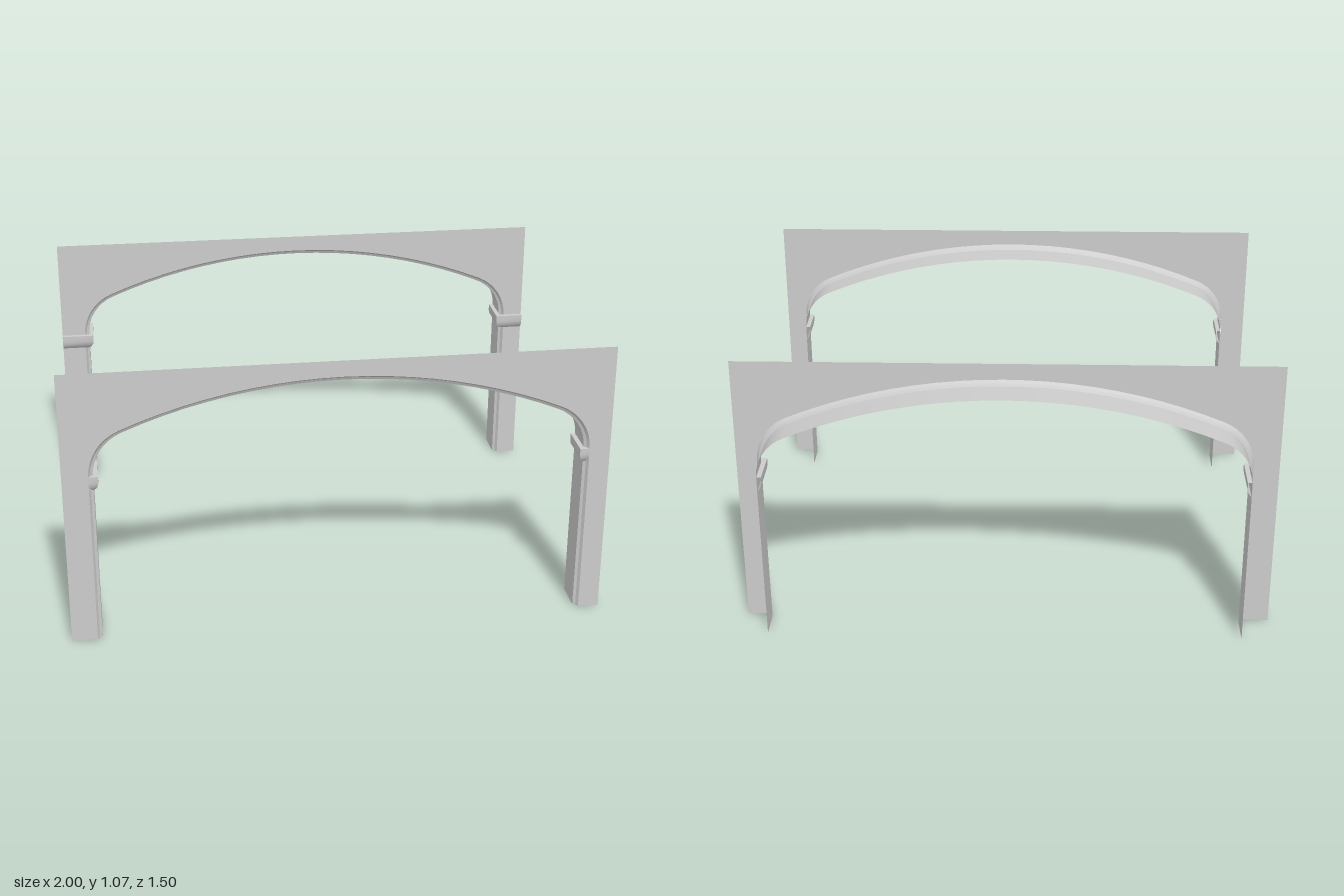
import * as THREE from 'three';
import { toCreasedNormals } from 'three/addons/utils/BufferGeometryUtils.js';

const CX = 0.009;        // centre of the opening
const HALF = 0.914;      // half width of the opening at the face
const SPRING = 0.67;     // height where the arch begins
const CROWN = 1.008;
const TOP = 1.07;
const DEPTH = 0.134;
const EDGE = 0.018;      // width of the moulded edge
const BIG = 2.05;        // radius of the crown arc
const RISE = CROWN - SPRING;
const SMALL = (2 * BIG * RISE - HALF ** 2 - RISE ** 2) / (2 * (BIG - HALF));

const material = new THREE.MeshStandardMaterial({ color: 0xcccccc, side: THREE.DoubleSide });

function addMesh(group, name, geometry) {
  const mesh = new THREE.Mesh(geometry, material);
  mesh.name = name;
  group.add(mesh);
}

// Skin over a grid of points: rows[i][j] = [x, y, z]
function loft(rows) {
  const n = rows[0].length, index = [];
  for (let i = 0; i < rows.length - 1; i++) {
    for (let j = 0; j < n - 1; j++) {
      const a = i * n + j, b = a + n;
      index.push(a, a + 1, b, a + 1, b + 1, b);
    }
  }
  const g = new THREE.BufferGeometry();
  g.setAttribute('position', new THREE.Float32BufferAttribute(rows.flat(2), 3));
  g.setIndex(index);
  return toCreasedNormals(g, 0.45);
}

// Three-centred arch on two posts, inset by d, from left foot to right foot
function outline(d) {
  const join = Math.acos((HALF - SMALL) / (BIG - SMALL));
  const right = [[HALF - d, 0]];
  for (let i = 0; i <= 8; i++) {
    const t = join * i / 8;
    right.push([HALF - SMALL + (SMALL - d) * Math.cos(t), SPRING + (SMALL - d) * Math.sin(t)]);
  }
  for (let i = 1; i <= 10; i++) {
    const t = join + (Math.PI / 2 - join) * i / 10;
    right.push([(BIG - d) * Math.cos(t), CROWN - BIG + (BIG - d) * Math.sin(t)]);
  }
  const left = right.slice(0, -1).map(([x, y]) => [-x, y]);
  return [...left, ...right.reverse()].map(([x, y]) => [x + CX, y]);
}

// Moulding swept round the inside and front of a post; side is -1 or +1
function capital(side, cornerZ, frontEndX, backZ) {
  const wall = CX + side * (HALF - EDGE);
  const profile = [[0, 0.67], [0.017, 0.67], [0.017, 0.645], [0.014, 0.63], [0.006, 0.618], [0, 0.611]];
  if (side < 0) profile.reverse();
  const path = [
    [wall, backZ, -side, 0],
    [wall, cornerZ, -side, 1],
    [frontEndX, cornerZ, 0, 1],
  ];
  return loft(path.map(([x, z, ox, oz]) => profile.map(([o, y]) => [x + ox * o, y, z + oz * o])));
}

function makeArch(name, faceZ, capitalsWrapFace) {
  const arch = new THREE.Group();
  arch.name = name;

  // Flat wall face around the opening
  const shape = new THREE.Shape();
  shape.moveTo(-1, 0);
  outline(0).forEach(([x, y]) => shape.lineTo(x, y));
  shape.lineTo(1, 0);
  shape.lineTo(1, TOP);
  shape.lineTo(-1, TOP);
  addMesh(arch, 'wallFace', new THREE.ShapeGeometry(shape).translate(0, 0, faceZ));

  // Moulded edge and the deep inner lining
  const sweep = (section) => {
    const lines = section.map(([d, z]) => outline(d).map(([x, y]) => [x, y, faceZ - z]));
    return loft(lines[0].map((_, i) => lines.map((line) => line[i])));
  };
  addMesh(arch, 'edgeMoulding', sweep([[0, 0], [0.008, 0.012], [EDGE, 0.017]]));
  addMesh(arch, 'innerLining', sweep([[EDGE, 0.017], [EDGE, DEPTH]]));

  // Capitals at the springing
  for (const side of [-1, 1]) {
    const cornerZ = capitalsWrapFace ? faceZ : faceZ - 0.0165;
    const endX = capitalsWrapFace ? side : CX + side * HALF;
    addMesh(arch, side < 0 ? 'rightCapital' : 'leftCapital', capital(side, cornerZ, endX, faceZ - DEPTH));
  }
  return arch;
}

export function createModel() {
  const model = new THREE.Group();
  model.name = 'archPair';
  model.add(makeArch('frontArch', 0.752, false), makeArch('backArch', -0.618, true));
  return model;
}
